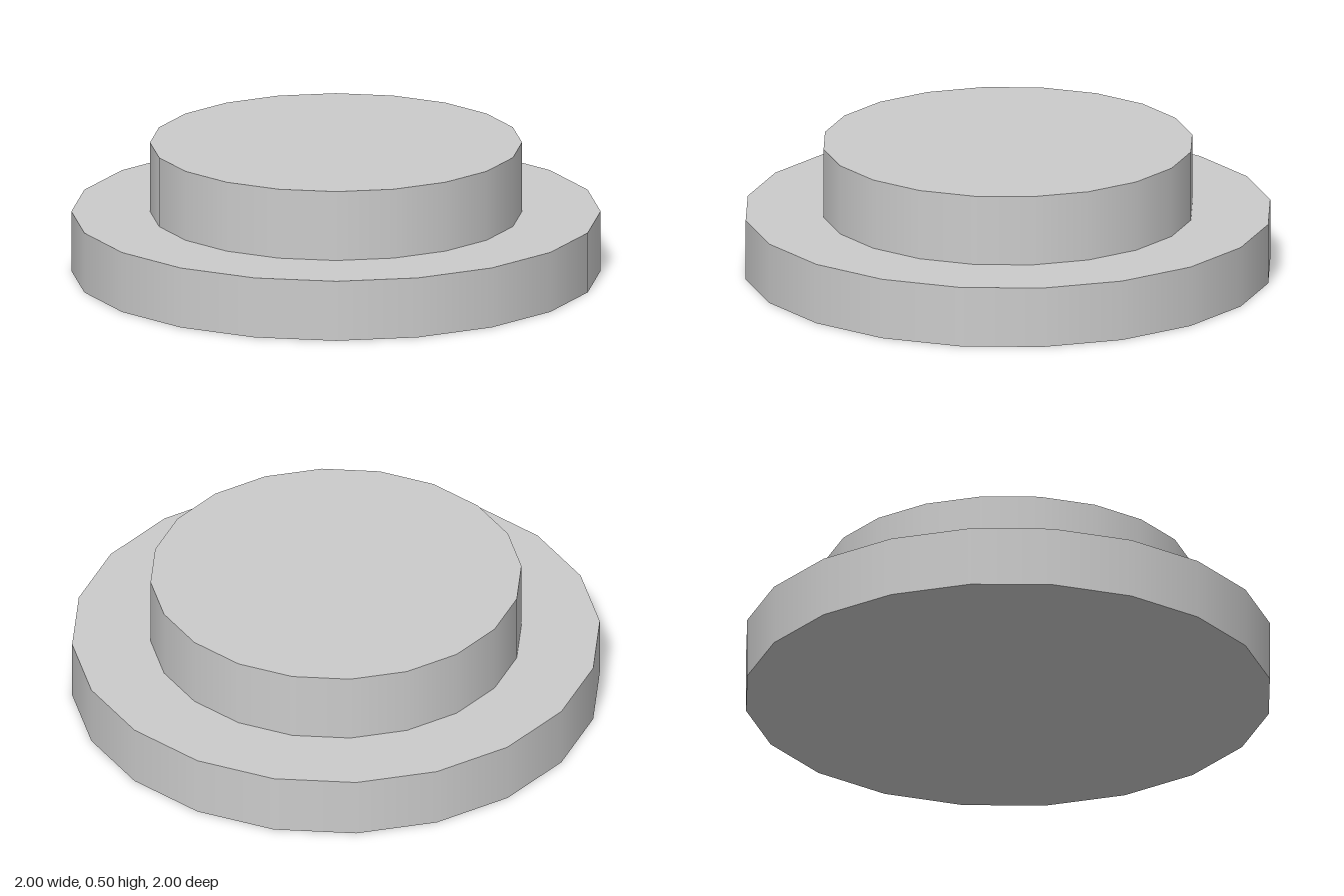
import * as THREE from 'three';

const SIDES = 20;

// Upright disc resting at height y
function disc(name, radius, y, height, material) {
  const geometry = new THREE.CylinderGeometry(radius, radius, height, SIDES);
  geometry.translate(0, y + height / 2, 0);
  const mesh = new THREE.Mesh(geometry, material);
  mesh.name = name;
  return mesh;
}

export function createModel() {
  const model = new THREE.Group();
  model.name = 'steppedDisc';
  const grey = new THREE.MeshStandardMaterial({ color: 0xcccccc });

  // Wide lower step and narrower upper step
  model.add(disc('base', 1, 0, 0.233, grey));
  model.add(disc('cap', 0.703, 0.233, 0.27, grey));
  return model;
}
